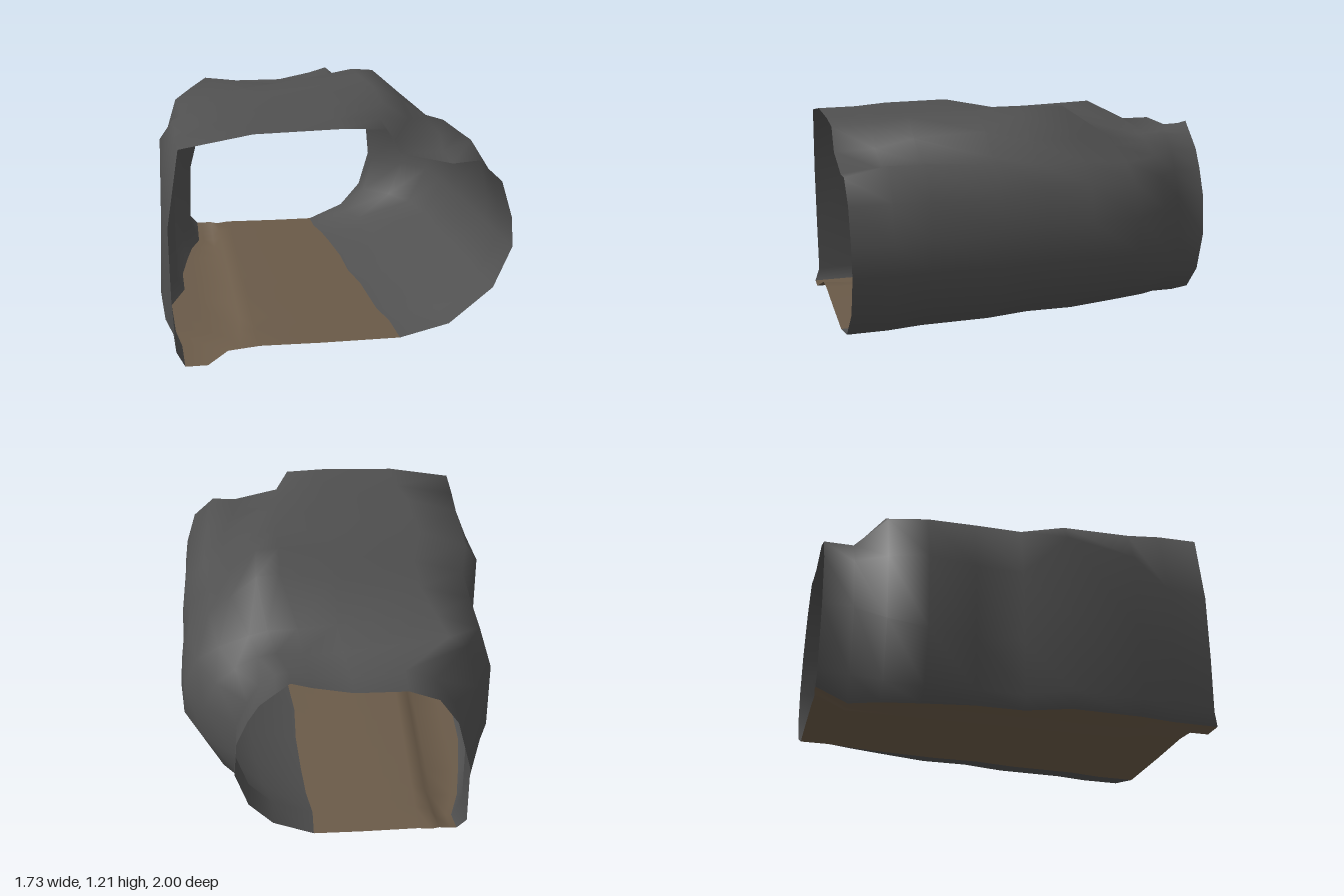
import * as THREE from 'three';

// Cross-sections of the rock shell, from the left floor edge over the roof to the ditch
const FRONT = [[.3, .07], [.55, .13], [.77, .31], [.86, .52], [.85, .67], [.79, .86], [.67, .97], [.54, .96], [.28, 1.02],
  [.21, 1.14], [0, 1.15], [-.42, 1.14], [-.77, 1.08], [-.83, .7], [-.825, .35], [-.81, .07], [-.77, .005]];
const MIDDLE = [[.25, .07], [.5, .13], [.76, .31], [.85, .52], [.84, .68], [.81, .86], [.7, 1.0], [.6, 1.02], [.46, 1.12],
  [.3, 1.2], [0, 1.165], [-.5, 1.15], [-.77, 1.05], [-.84, .95], [-.85, .5], [-.865, .08], [-.81, .005]];
const HUMP = [[.22, .07], [.48, .14], [.74, .31], [.84, .52], [.82, .7], [.77, .88], [.66, .98], [.54, 1.08], [.4, 1.2],
  [.28, 1.21], [0, 1.16], [-.45, 1.1], [-.72, 1.02], [-.77, .75], [-.77, .35], [-.77, .07], [-.73, .005]];
const SHOULDER = [[.2, .07], [.45, .15], [.7, .31], [.81, .52], [.8, .7], [.72, .87], [.6, .95], [.45, 1.01], [.35, 1.04],
  [.2, 1.045], [0, 1.065], [-.5, 1.1], [-.73, 1.01], [-.81, .75], [-.82, .35], [-.75, .07], [-.69, .005]];
const BACK = [[.15, .07], [.36, .16], [.48, .3], [.54, .51], [.52, .72], [.46, .86], [.4, .96], [.32, 1.03], [.25, 1.09],
  [.15, 1.06], [-.05, 1.02], [-.31, 1.02], [-.46, .96], [-.56, .81], [-.64, .5], [-.65, .13], [-.6, .075]];

const mix = (a, b, t) => a.map((p, i) => p.map((v, k) => v + (b[i][k] - v) * t));
// The neck is the back section with a lower roof and a deeper ditch
const NECK = BACK.map(([x, y], i) => [x, i === 16 ? .005 : Math.min(y, 1.04 - .04 * (i === 9 || i === 10))]);
// A knob of rock sits on the roof just before the neck
const KNOB = mix(SHOULDER, NECK, .4);
KNOB[11] = [-.54, 1.1];
KNOB[12] = [-.63, 1.04];
// A ridge runs along the left of the roof behind the front rim
const LEDGE = mix(FRONT, MIDDLE, .12);
LEDGE[6] = [.69, 1.02];
const LEDGE_END = mix(FRONT, MIDDLE, .75);
LEDGE_END[6] = [.69, 1.015];

const STATIONS = [
  [.97, FRONT], [.76, LEDGE], [.58, LEDGE_END], [.22, MIDDLE],
  [0, HUMP], [-.25, HUMP], [-.5, SHOULDER], [-.69, KNOB], [-.84, NECK], [-.99, BACK],
];

// The back rim is cut at a slight slant; the ditch reaches a little past the front
const rimZ = (x, z) => (z < -.9 ? z + .012 * x : z);
const ditchZ = (x, z) => (z > .9 ? 1 : rimZ(x, z));

// Joins rows of points with a smooth surface
function skin(rows, flip) {
  const n = rows[0].length, index = [];
  for (let r = 0; r < rows.length - 1; r++) {
    for (let i = 0; i < n - 1; i++) {
      const a = r * n + i, b = a + 1, c = a + n, d = c + 1;
      index.push(...(flip ? [a, c, b, b, c, d] : [a, b, c, b, d, c]));
    }
  }
  const geometry = new THREE.BufferGeometry();
  geometry.setAttribute('position', new THREE.Float32BufferAttribute(rows.flat(2), 3));
  geometry.setIndex(index);
  geometry.computeVertexNormals();
  return geometry;
}

export function createModel() {
  const group = new THREE.Group();
  group.name = 'caveTunnel';
  const rock = new THREE.MeshStandardMaterial({ color: 0x505050, side: THREE.DoubleSide });
  rock.name = 'darkRock';
  const earth = new THREE.MeshStandardMaterial({ color: 0x6a5a48, side: THREE.DoubleSide });
  earth.name = 'brownEarth';

  // Rock walls and roof
  const shellRows = STATIONS.map(([z, profile]) =>
    profile.map(([x, y], i) => [x, y, i === 16 ? ditchZ(x, z) : rimZ(x, z)]));
  const shell = new THREE.Mesh(skin(shellRows, true), rock);
  shell.name = 'rockShell';
  group.add(shell);

  // Flat ground with a ditch along the right wall, narrowing towards the front
  const groundRows = STATIONS.map(([z, profile]) => {
    const [edgeX, low] = profile[16];
    const [farX, farY] = profile[0];
    const narrow = Math.max(0, (z - .58) / .39);
    const bedX = Math.max(-.66, edgeX + .03);
    return [
      [edgeX, low, ditchZ(edgeX, z)],
      [bedX, low, ditchZ(bedX, z)],
      [-.51 - .05 * narrow, low + .055 * narrow, z],
      [-.47 - .03 * narrow, .066, z],
      [-.4, .075, z], [-.1, .07, z],
      [farX, farY, rimZ(farX, z)],
    ];
  });
  const ground = new THREE.Mesh(skin(groundRows, false), earth);
  ground.name = 'ground';
  group.add(ground);

  return group;
}
